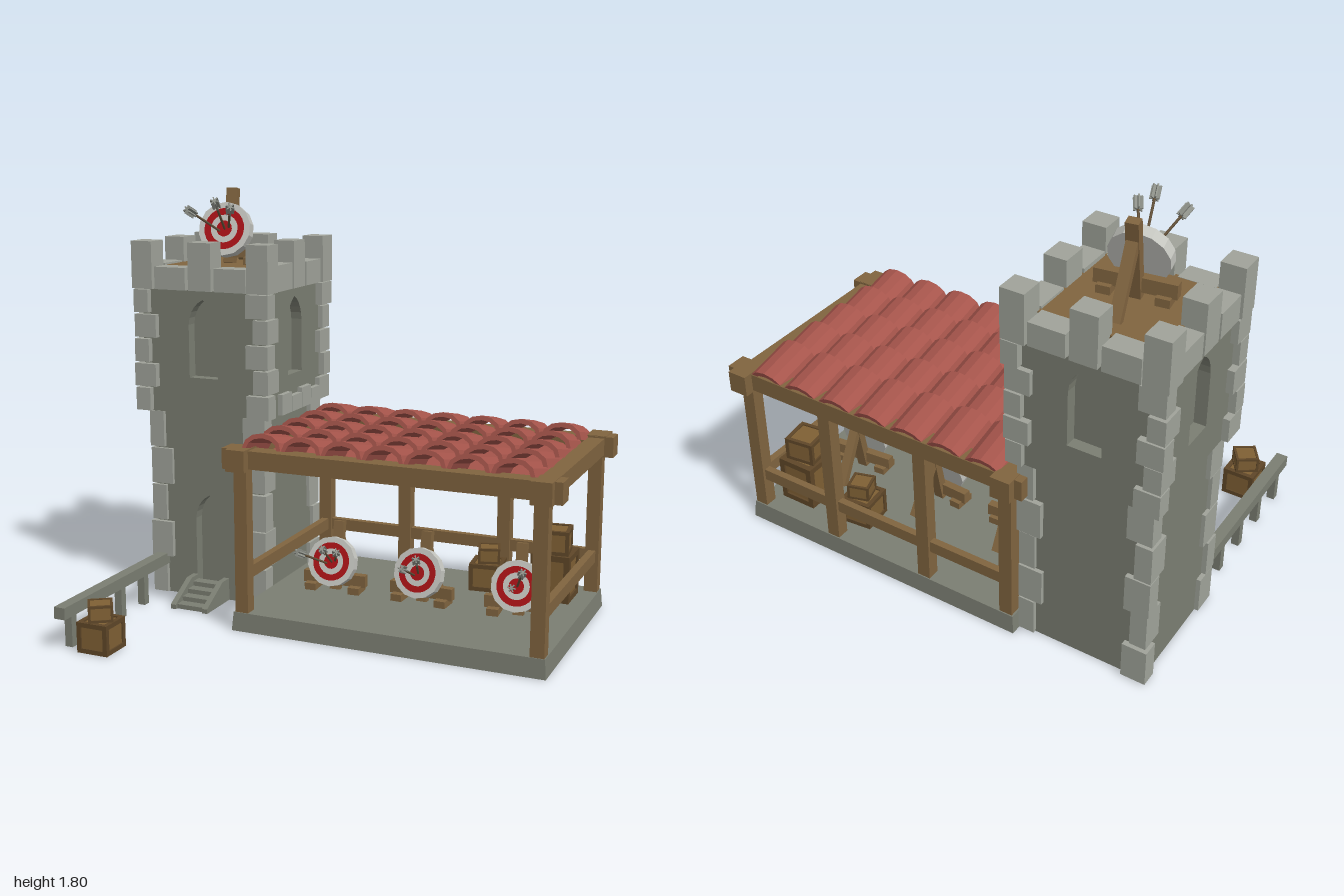
import * as THREE from 'three';

const mat = (name, color, extra = {}) => Object.assign(new THREE.MeshStandardMaterial({ color, ...extra }), { name });
const M = {
  wall: mat('dark stone', 0x7b7e72),
  stone: mat('light stone', 0xa0a39a),
  wood: mat('timber', 0x80643f),
  crate: mat('crate panel', 0x7f6034),
  frame: mat('crate frame', 0x5f4728),
  tile: mat('roof tile', 0xa5544b, { flatShading: true }),
  white: mat('target white', 0xc3c4be, { flatShading: true }),
  red: mat('target red', 0xa81216),
  shaft: mat('arrow shaft', 0x64523a),
  feather: mat('arrow feather', 0x8f928a, { side: THREE.DoubleSide }),
};

let seed = 7;
const rnd = () => (seed = (seed * 16807) % 2147483647) / 2147483647;

function add(parent, name, geo, material, x = 0, y = 0, z = 0) {
  const m = new THREE.Mesh(geo, material);
  m.name = name;
  m.position.set(x, y, z);
  parent.add(m);
  return m;
}
function group(parent, name, x = 0, y = 0, z = 0) {
  const g = new THREE.Group();
  g.name = name;
  g.position.set(x, y, z);
  parent.add(g);
  return g;
}
// box given by its min and max on each axis
const span = (p, name, m, x0, x1, y0, y1, z0, z1) =>
  add(p, name, new THREE.BoxGeometry(x1 - x0, y1 - y0, z1 - z0), m, (x0 + x1) / 2, (y0 + y1) / 2, (z0 + z1) / 2);

// bar running from point a to point b
function bar(p, name, m, a, b, w, d) {
  const A = new THREE.Vector3(...a), B = new THREE.Vector3(...b), dir = B.clone().sub(A);
  const mesh = add(p, name, new THREE.BoxGeometry(w, dir.length(), d), m);
  mesh.position.copy(A).add(B).multiplyScalar(0.5);
  mesh.quaternion.setFromUnitVectors(new THREE.Vector3(0, 1, 0), dir.normalize());
  return mesh;
}

// wall panel with a pointed-arch opening, facing +z
function archPanel(half, height, y0, y1, depth) {
  const s = new THREE.Shape([[-half, 0], [half, 0], [half, height], [-half, height]].map(q => new THREE.Vector2(...q)));
  const w = 0.07, spring = y1 - 0.11, h = new THREE.Path();
  h.moveTo(-w, y0);
  h.lineTo(-w, spring);
  h.quadraticCurveTo(-w * 0.9, y1 - 0.03, 0, y1);
  h.quadraticCurveTo(w * 0.9, y1 - 0.03, w, spring);
  h.lineTo(w, y0);
  h.closePath();
  s.holes.push(h);
  return new THREE.ExtrudeGeometry(s, { depth, bevelEnabled: false, curveSegments: 5 });
}

// corner stones, long side alternating between the two faces
function quoins(p, out, y0, y1, n) {
  for (const sx of [-1, 1]) for (const sz of [-1, 1]) for (let i = 0; i < n; i++) {
    const h = (y1 - y0) / n, o = out - rnd() * 0.012;
    const long = (i + (sx * sz > 0 ? 1 : 0)) % 2;
    const lx = long ? 0.105 : 0.07, lz = long ? 0.07 : 0.105;
    add(p, 'cornerStone', new THREE.BoxGeometry(lx, h - 0.008, lz), M.stone,
      sx * (o - lx / 2), y0 + h * (i + 0.5), sz * (o - lz / 2));
  }
}

function buildTower(root) {
  const t = group(root, 'tower', -0.67, 0, -0.37);
  // lower storey with door niche
  span(t, 'lowerWall', M.wall, -0.265, 0.265, 0, 0.84, -0.265, 0.215);
  add(t, 'doorWall', archPanel(0.265, 0.84, 0.02, 0.47, 0.05), M.wall, 0, 0, 0.215);
  quoins(t, 0.29, 0, 0.84, 5);
  // upper storey with a window on each side
  span(t, 'upperCore', M.wall, -0.245, 0.245, 0.84, 1.38, -0.245, 0.245);
  for (let i = 0; i < 4; i++) {
    const side = group(t, 'upperSide');
    side.rotation.y = i * Math.PI / 2;
    add(side, 'windowWall', archPanel(0.295, 0.54, 0.16, 0.5, 0.05), M.wall, 0, 0.84, 0.245);
    // battlements: low, high, low between the corners
    for (const [x, w, top] of [[-0.145, 0.15, 1.495], [0, 0.11, 1.585], [0.145, 0.15, 1.495]]) {
      const y = top - (top < 1.5 ? rnd() * 0.02 : 0);
      span(side, 'merlon', M.stone, x - w / 2, x + w / 2, 1.38, y, 0.225, 0.32);
    }
    span(side, 'cornerMerlon', M.stone, -0.328, -0.228, 1.38, 1.585, 0.228, 0.328);
  }
  quoins(t, 0.328, 0.84, 1.38, 5);
  // stone course at the foot of the upper storey, on the roof side
  for (let i = 0; i < 4; i++)
    span(t, 'courseStone', M.stone, 0.25, 0.318, 0.84, 0.91 + 0.02 * (i % 2), -0.22 + i * 0.1, -0.125 + i * 0.1);
  span(t, 'lookoutFloor', M.wood, -0.24, 0.24, 1.38, 1.475, -0.24, 0.24);
}

function buildStairs(root) {
  const s = group(root, 'stairs', -0.67, 0, -0.105);
  for (let i = 0; i < 4; i++)
    span(s, 'step', M.wall, -0.07, 0.07, 0, 0.08 - i * 0.02, i * 0.048, (i + 1) * 0.048);
  const prof = new THREE.Shape([[0, 0], [0.205, 0], [0.205, 0.02], [0.06, 0.1], [0, 0.1]].map(q => new THREE.Vector2(...q)));
  for (const x of [-0.065, 0.09]) {
    const m = add(s, 'stairSide', new THREE.ExtrudeGeometry(prof, { depth: 0.025, bevelEnabled: false }), M.wall, x - 0.025, 0, 0);
    m.rotation.y = -Math.PI / 2;
    m.position.x = x;
  }
}

function buildFence(root) {
  const f = group(root, 'fence', -0.905, 0, 0);
  span(f, 'fenceRail', M.wall, -0.025, 0.025, 0.135, 0.185, -0.12, 0.72);
  for (const z of [0.09, 0.275, 0.46, 0.645]) span(f, 'fencePost', M.wall, -0.017, 0.017, 0, 0.14, z - 0.017, z + 0.017);
}

// crate: panel box with frame bars along its twelve edges
function crate(root, x, y, z, w, h, yaw = 0) {
  const c = group(root, 'crate', x, y, z), b = Math.min(w, h) * 0.15, i = w / 2 - b / 2;
  c.rotation.y = yaw;
  add(c, 'cratePanels', new THREE.BoxGeometry(w - b * 0.7, h - b * 0.7, w - b * 0.7), M.crate, 0, h / 2, 0);
  for (const s of [-1, 1]) for (const r of [-1, 1]) {
    add(c, 'frameUpright', new THREE.BoxGeometry(b, h, b), M.frame, s * i, h / 2, r * i);
    const yy = h / 2 + r * (h / 2 - b / 2);
    add(c, 'frameBar', new THREE.BoxGeometry(w - 2 * b, b, b), M.frame, 0, yy, s * i);
    add(c, 'frameBar', new THREE.BoxGeometry(b, b, w - 2 * b), M.frame, s * i, yy, 0);
  }
}

function arrow(p, from, to) {
  const A = new THREE.Vector3(...from), d = new THREE.Vector3(...to).sub(A), L = d.length();
  const a = group(p, 'arrow', ...from);
  a.quaternion.setFromUnitVectors(new THREE.Vector3(0, 1, 0), d.normalize());
  add(a, 'arrowShaft', new THREE.CylinderGeometry(0.005, 0.005, L, 5), M.shaft, 0, L / 2, 0);
  for (let i = 0; i < 3; i++) {
    const f = add(a, 'arrowFeather', new THREE.BoxGeometry(0.034, 0.05, 0.005), M.feather, 0, L - 0.022, 0);
    f.rotation.y = i * Math.PI / 3;
  }
}

function target(root, x, y, z, yaw, scale, tails) {
  const t = group(root, 'archeryTarget', x, y, z);
  t.rotation.y = yaw;
  t.scale.setScalar(scale);
  bar(t, 'targetPost', M.wood, [0, 0, -0.035], [0, 0.295, -0.09], 0.045, 0.035);
  bar(t, 'targetBrace', M.wood, [0, 0.22, -0.085], [0, 0, -0.215], 0.04, 0.03);
  span(t, 'targetBeam', M.wood, -0.142, 0.142, 0.025, 0.077, -0.05, -0.015);
  for (const s of [-0.1, 0.1]) span(t, 'targetFoot', M.wood, s - 0.025, s + 0.025, 0, 0.03, -0.07, 0.02);
  // tilted straw disc with thin painted rings
  const d = group(t, 'targetDisc', 0, 0.135, 0);
  d.rotation.x = -0.29;
  add(d, 'discBody', new THREE.CylinderGeometry(0.108, 0.108, 0.045, 14), M.white).rotation.x = Math.PI / 2;
  add(d, 'outerRing', new THREE.RingGeometry(0.056, 0.083, 24), M.red, 0, 0, 0.0245);
  add(d, 'bullseye', new THREE.CircleGeometry(0.032, 18), M.red, 0, 0, 0.0245);
  tails.forEach((q, i) => arrow(t, [(i - 1) * 0.014, 0.125 + 0.008 * i, 0.01], q));
}

function buildPavilion(root) {
  const p = group(root, 'pavilion');
  // slab with slightly sloped edges
  const slab = new THREE.BoxGeometry(1.35, 0.08, 0.925), pos = slab.attributes.position;
  for (let i = 0; i < pos.count; i++) if (pos.getY(i) > 0) pos.setXYZ(i, pos.getX(i) * 0.99, 0.04, pos.getZ(i) * 0.986);
  slab.computeVertexNormals();
  add(p, 'floorSlab', slab, M.wall, 0.285, 0.04, -0.233);
  // posts
  const post = (x, z) => span(p, 'post', M.wood, x - 0.029, x + 0.029, 0.08, 0.7, z - 0.027, z + 0.027);
  for (const x of [-0.347, 0.92]) for (const z of [0.192, -0.657]) post(x, z);
  for (const x of [0.05, 0.52]) post(x, -0.657);
  // low rails
  span(p, 'backRail', M.wood, -0.33, 0.9, 0.215, 0.267, -0.672, -0.642);
  for (const x of [-0.347, 0.92]) span(p, 'sideRail', M.wood, x - 0.016, x + 0.016, 0.215, 0.267, -0.65, 0.18);
  // roof beams with thicker crossing ends
  for (const z of [0.175, -0.652]) {
    span(p, 'longBeam', M.wood, -0.4, 0.97, 0.697, 0.773, z - 0.038, z + 0.038);
    for (const x of [-0.375, 0.945]) span(p, 'beamEnd', M.wood, x - 0.055, x + 0.055, 0.69, 0.778, z - 0.043, z + 0.043);
  }
  for (const x of [-0.355, 0.925]) {
    span(p, 'sideBeam', M.wood, x - 0.036, x + 0.036, 0.699, 0.771, -0.68, 0.21);
    for (const z of [0.192, -0.672]) span(p, 'beamEnd', M.wood, x - 0.043, x + 0.043, 0.688, 0.78, z - 0.058, z + 0.058);
  }
  // roof: underside board and rows of curved tiles
  const roof = group(p, 'roof');
  span(roof, 'roofBoard', M.tile, -0.33, 0.9, 0.722, 0.73, -0.63, 0.15);
  const arc = (w, h, rev) => Array.from({ length: 7 }, (_, i) => {
    const a = Math.PI * (rev ? 1 - i / 6 : i / 6);
    return new THREE.Vector2(Math.cos(a) * w, Math.sin(a) * h);
  });
  const tile = new THREE.ExtrudeGeometry(
    new THREE.Shape([...arc(0.087, 0.066, false), ...arc(0.069, 0.046, true)]), { depth: 0.21, bevelEnabled: false });
  tile.translate(0, 0, -0.21);
  for (let c = 0; c < 7; c++) for (let r = 0; r < 5; r++)
    add(roof, 'roofTile', tile, M.tile, -0.247 + c * 0.1757, 0.788, 0.222 - r * 0.174).rotation.x = -0.22;
}

export function createModel() {
  const root = new THREE.Group();
  root.name = 'archeryRange';
  buildTower(root);
  buildStairs(root);
  buildFence(root);
  buildPavilion(root);
  const tails = [[-0.085, 0.225, 0.2], [0.035, 0.26, 0.22], [0.08, 0.235, 0.17]];
  target(root, -0.67, 1.475, -0.3, 0.14, 1.1, tails);
  target(root, -0.11, 0.08, -0.185, 0.05, 1, tails);
  target(root, 0.29, 0.08, -0.185, -0.05, 1, [[0.015, 0.22, 0.22], [0.06, 0.255, 0.18]]);
  target(root, 0.72, 0.08, -0.185, 0.08, 1, [[0.02, 0.2, 0.22], [0.055, 0.255, 0.18]]);
  // crate stacks
  crate(root, -0.77, 0, 0.63, 0.14, 0.128);
  crate(root, -0.77, 0.128, 0.63, 0.1, 0.07, 0.6);
  crate(root, 0.79, 0.08, -0.51, 0.17, 0.205);
  crate(root, 0.79, 0.285, -0.5, 0.135, 0.105, 0.12);
  crate(root, 0.49, 0.08, -0.51, 0.14, 0.12, 0.1);
  crate(root, 0.495, 0.2, -0.51, 0.095, 0.068, 0.3);
  return root;
}
